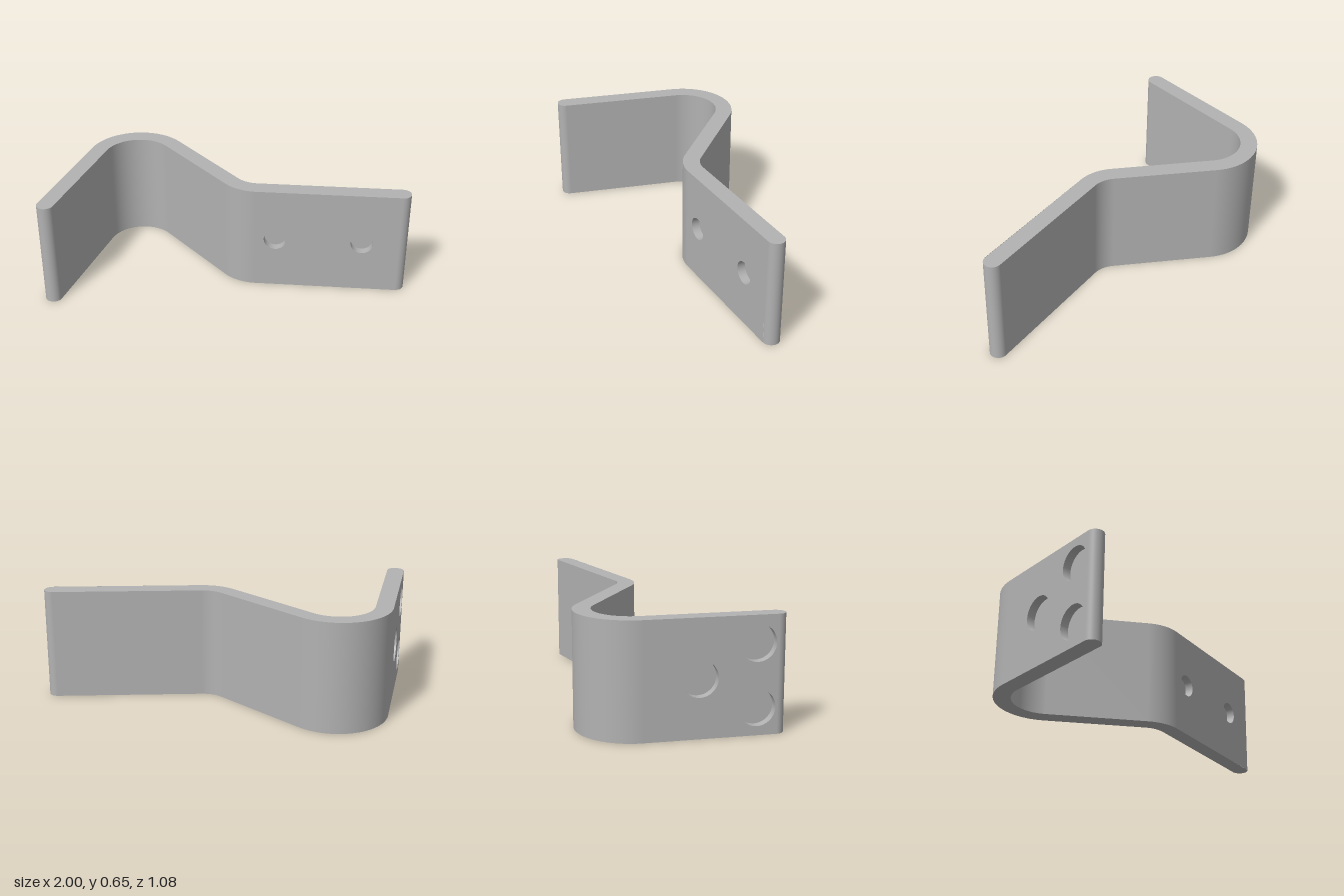
import * as THREE from 'three';

const H = 0.648;           // strip height
const T = 0.05;            // half thickness
const POCKET = 0.05;       // depth of the blind holes

export function createModel() {
  const steel = new THREE.MeshStandardMaterial({ color: 0xb2b2b2, side: THREE.DoubleSide });
  steel.name = 'grey steel';
  const group = new THREE.Group();
  group.name = 'bentBracket';

  const add = (parent, geometry, name) => {
    const mesh = new THREE.Mesh(geometry, steel);
    mesh.name = name;
    parent.add(mesh);
    return mesh;
  };

  // Outline of the strip seen from above, as arcs joined by straight runs.
  // Each arc: centre x, centre z, radius (negative = concave), start and end normal angle.
  const bend = [-0.69, -0.23], elbow = [0.07, -0.315];
  const arcs = [
    [-0.95, 0.49, T, 0, 180],            // leg tip
    [...bend, 0.26 + T, 180, 301.5],     // outside of large bend
    [...elbow, T - 0.21, 301.5, 255],    // back of elbow
    [0.95, -0.335, T, 255, 435],         // arm tip
    [...elbow, 0.21 + T, 75, 121.5],     // front of elbow
    [...bend, T - 0.26, 121.5, 0],       // inside of large bend
  ];
  const outline = [], arcStart = [];
  for (const [cx, cz, r, a0, a1] of arcs) {
    arcStart.push(outline.length);
    for (let i = 0; i <= 24; i++) {
      const a = THREE.MathUtils.degToRad(a0 + (a1 - a0) * i / 24);
      const nx = Math.cos(a), nz = Math.sin(a);
      outline.push({ x: cx + r * nx, z: cz + r * nz, nx, nz });
    }
  }

  // Top and bottom faces
  const top = new THREE.Shape(outline.map(p => new THREE.Vector2(p.x, -p.z)));
  add(group, new THREE.ShapeGeometry(top).rotateX(-Math.PI / 2).translate(0, H, 0), 'topEdge');
  const bottom = new THREE.Shape(outline.map(p => new THREE.Vector2(p.x, p.z)));
  add(group, new THREE.ShapeGeometry(bottom).rotateX(Math.PI / 2), 'bottomEdge');

  // Smooth side walls, leaving out the two flat runs that carry holes
  const drilled = [arcStart[1] - 1, arcStart[4] - 1];
  const pos = [], nor = [], index = [];
  outline.forEach((p, i) => {
    pos.push(p.x, 0, p.z, p.x, H, p.z);
    nor.push(p.nx, 0, p.nz, p.nx, 0, p.nz);
    if (drilled.includes(i)) return;
    const a = 2 * i, b = 2 * ((i + 1) % outline.length);
    index.push(a, a + 1, b + 1, a, b + 1, b);
  });
  const walls = new THREE.BufferGeometry();
  walls.setAttribute('position', new THREE.Float32BufferAttribute(pos, 3));
  walls.setAttribute('normal', new THREE.Float32BufferAttribute(nor, 3));
  walls.setIndex(index);
  add(group, walls, 'bentStripWalls');

  // Flat face with blind round holes; holes are [u, y, radius]
  const drilledFace = (i, holes, name) => {
    const p = outline[i], q = outline[i + 1];
    const length = Math.hypot(p.x - q.x, p.z - q.z);
    const face = new THREE.Group();
    face.name = name;
    face.position.set(q.x, 0, q.z);
    face.rotation.y = Math.atan2(q.nx, q.nz);
    const shape = new THREE.Shape();
    shape.moveTo(0, 0).lineTo(length, 0).lineTo(length, H).lineTo(0, H).closePath();
    for (const [u, y, r] of holes) {
      shape.holes.push(new THREE.Path().absarc(u, y, r, 0, Math.PI * 2, true));
      const wall = new THREE.CylinderGeometry(r, r, POCKET, 64, 1, true).rotateX(Math.PI / 2);
      add(face, wall.translate(u, y, -POCKET / 2), 'holeWall');
      add(face, new THREE.CircleGeometry(r, 64).translate(u, y, -POCKET), 'holeFloor');
    }
    add(face, new THREE.ShapeGeometry(shape, 32), name + 'Plate');
    group.add(face);
  };
  drilledFace(drilled[0], [[0.3, H / 2, 0.1], [0.61, 0.15, 0.1], [0.61, H - 0.15, 0.1]], 'legOuterFace');
  drilledFace(drilled[1], [[0.117, H / 2, 0.067], [0.635, H / 2, 0.067]], 'armFrontFace');

  return group;
}
